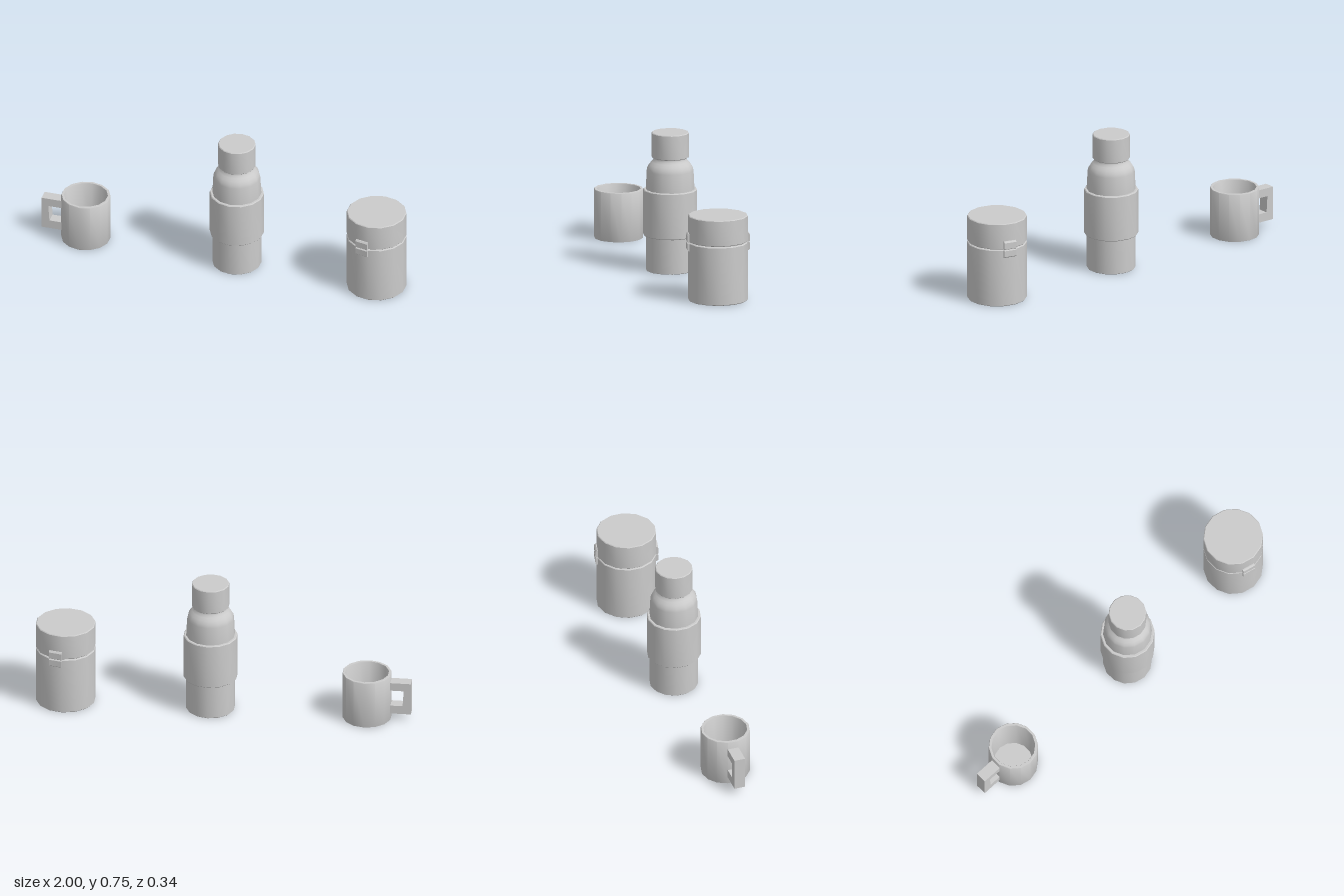
import * as THREE from 'three';
import { toCreasedNormals } from 'three/addons/utils/BufferGeometryUtils.js';

const SIDES = 14;
const material = new THREE.MeshStandardMaterial({ color: 0xcccccc });

function add(parent, name, geometry) {
  const mesh = new THREE.Mesh(geometry, material);
  mesh.name = name;
  parent.add(mesh);
  return mesh;
}

// Turned part from [radius, y] points, listed from the bottom up the outside
function turned(parent, name, points) {
  const profile = points.map(([r, y]) => new THREE.Vector2(r, y));
  return add(parent, name, toCreasedNormals(new THREE.LatheGeometry(profile, SIDES), 0.6));
}

// Closed drum with slightly eased edges
function drum(parent, name, r, y0, y1, e = 0.004) {
  return turned(parent, name, [[0, y0], [r - e, y0], [r, y0 + e], [r, y1 - e], [r - e, y1], [0, y1]]);
}

function polygon(points) {
  return new THREE.Shape(points.map(([x, y]) => new THREE.Vector2(x, y)));
}

function extruded(points, depth) {
  const geometry = new THREE.ExtrudeGeometry(polygon(points), { depth, bevelEnabled: false });
  return geometry.translate(0, 0, -depth / 2);
}

function createMug() {
  const mug = new THREE.Group();
  mug.name = 'mug';
  turned(mug, 'mugCup', [
    [0, 0], [0.13, 0], [0.131, 0.003], [0.131, 0.263], [0.129, 0.266],
    [0.117, 0.266], [0.115, 0.262], [0.103, 0.03], [0, 0.03],
  ]);
  // Square C-shaped handle, ends sunk in the wall
  add(mug, 'mugHandle', extruded([
    [-0.122, 0.04], [-0.122, 0.087], [-0.193, 0.087], [-0.199, 0.177],
    [-0.122, 0.177], [-0.122, 0.222], [-0.237, 0.222], [-0.237, 0.04],
  ], 0.06));
  mug.position.x = -0.763;
  return mug;
}

function createBottle() {
  const bottle = new THREE.Group();
  bottle.name = 'bottle';
  // Body with rounded shoulders and a narrow neck
  turned(bottle, 'bottleBody', [
    [0, 0], [0.127, 0], [0.13, 0.003], [0.13, 0.44], [0.125, 0.54], [0.121, 0.558],
    [0.111, 0.574], [0.099, 0.588], [0.09, 0.598], [0.087, 0.607], [0.087, 0.63], [0, 0.63],
  ]);
  drum(bottle, 'bottleSleeve', 0.144, 0.19, 0.44);
  drum(bottle, 'bottleCap', 0.1, 0.611, 0.747);
  bottle.position.x = 0.072;
  return bottle;
}

function createCanister() {
  const canister = new THREE.Group();
  canister.name = 'canister';
  drum(canister, 'canisterBody', 0.159, 0, 0.316);
  drum(canister, 'canisterLid', 0.159, 0.32, 0.461);

  // Two-piece latches on opposite facets
  const upper = [[0.148, 0.32], [0.164, 0.32], [0.167, 0.323], [0.167, 0.357], [0.16, 0.365], [0.148, 0.365]];
  const lower = [[0.148, 0.274], [0.16, 0.274], [0.167, 0.28], [0.167, 0.313], [0.164, 0.316], [0.148, 0.316]];
  const facet = -Math.PI / SIDES;
  [['front', facet], ['back', facet + Math.PI]].forEach(([side, angle]) => {
    [['LatchTop', upper], ['LatchBottom', lower]].forEach(([part, outline]) => {
      const piece = add(canister, side + part, extruded(outline, 0.07));
      piece.rotation.y = angle - Math.PI / 2;
    });
  });
  canister.position.x = 0.845;
  return canister;
}

export function createModel() {
  const model = new THREE.Group();
  model.name = 'drinkwareSet';
  model.add(createMug(), createBottle(), createCanister());
  return model;
}
